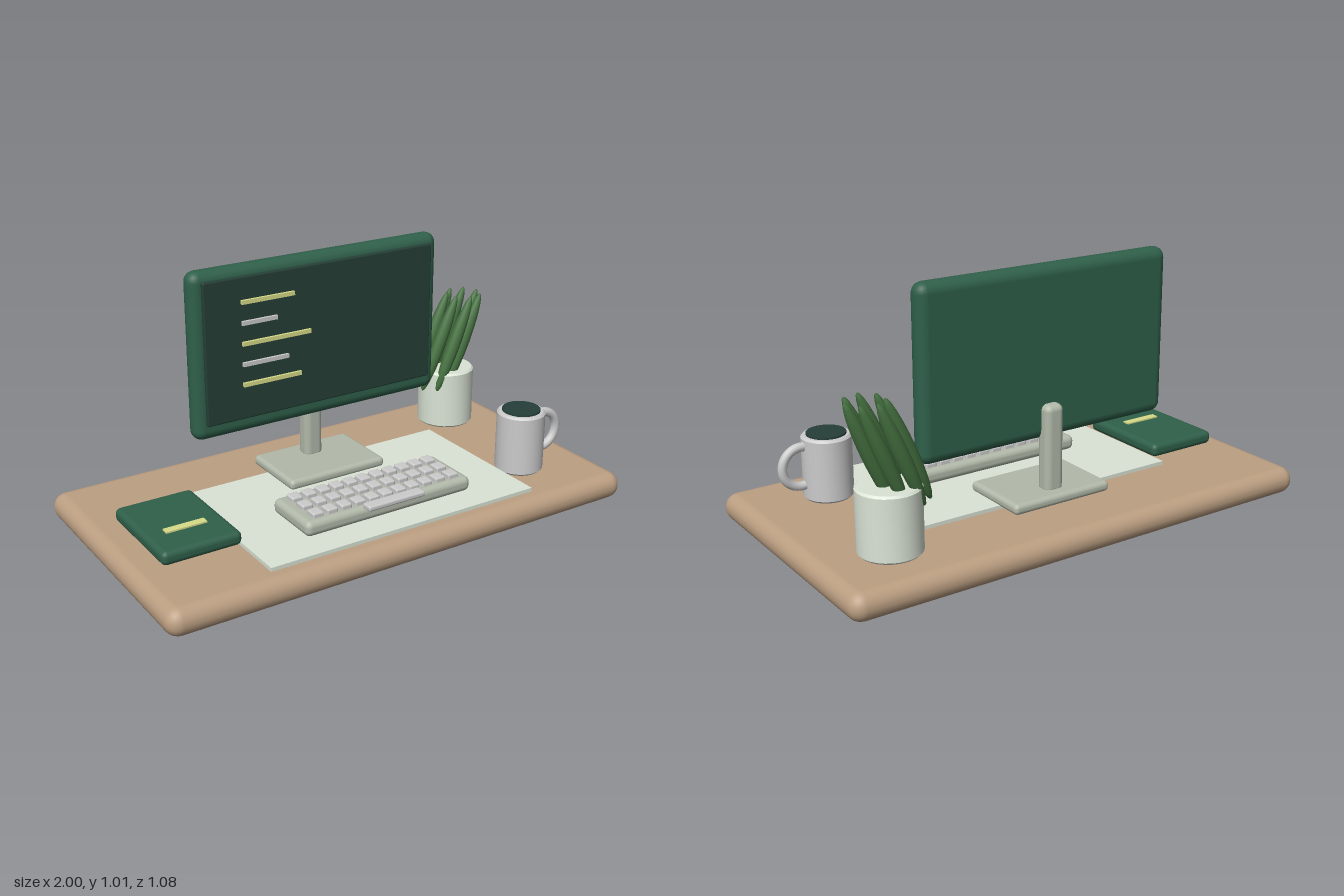
import * as THREE from 'three';
import { RoundedBoxGeometry } from 'three/addons/geometries/RoundedBoxGeometry.js';
import { toCreasedNormals } from 'three/addons/utils/BufferGeometryUtils.js';

const mat = (color) => new THREE.MeshStandardMaterial({ color });
const MAT = {
  grey: mat(0xcccccc),
  wood: mat(0xbc9f82),
  sage: mat(0xdbe4d6),
  stone: mat(0xb2baaa),
  green: mat(0x2f604a),
  dark: mat(0x253f37),
  yellow: mat(0xd8dc88),
  leaf: mat(0x44703f),
};

export function createModel() {
  const model = new THREE.Group();
  model.name = 'deskSetup';

  const add = (parent, name, geometry, material) => {
    const mesh = new THREE.Mesh(geometry, material);
    mesh.name = name;
    parent.add(mesh);
    return mesh;
  };
  const group = (name) => {
    const g = new THREE.Group();
    g.name = name;
    model.add(g);
    return g;
  };
  // Box given by its extents on each axis; radius 0 keeps the edges sharp
  const block = (parent, name, [x0, x1], [y0, y1], [z0, z1], radius, material, segments = 3) => {
    const size = [x1 - x0, y1 - y0, z1 - z0];
    const geometry = radius
      ? new RoundedBoxGeometry(...size, segments, radius)
      : new THREE.BoxGeometry(...size);
    const mesh = add(parent, name, geometry, material);
    mesh.position.set((x0 + x1) / 2, (y0 + y1) / 2, (z0 + z1) / 2);
    return mesh;
  };
  // Upright vessel with slightly bevelled rims
  const vessel = (parent, name, r, h, material) => {
    const b = 0.008;
    const profile = [[0, 0], [r - b, 0], [r, b], [r, h - b], [r - b, h], [0, h]]
      .map(([x, y]) => new THREE.Vector2(x, y));
    return add(parent, name, toCreasedNormals(new THREE.LatheGeometry(profile, 28), 0.6), material);
  };

  // Desk top and mat
  block(model, 'deskTop', [-1, 1], [0, 0.11], [-0.54, 0.54], 0.054, MAT.wood);
  block(model, 'deskMat', [-0.58, 0.58], [0.108, 0.125], [-0.207, 0.465], 0, MAT.sage);

  // Monitor with screen and lines of text-like bars
  const monitor = group('monitor');
  block(monitor, 'monitorCase', [-0.55, 0.55], [0.35, 1.01], [-0.225, -0.141], 0.041, MAT.green);
  block(monitor, 'screen', [-0.507, 0.507], [0.415, 0.975], [-0.145, -0.126], 0.006, MAT.dark, 2);
  [-0.13, -0.205, -0.06, -0.16, -0.105].forEach((end, i) => {
    const y = 0.88 - i * 0.081;
    block(monitor, 'screenLine', [-0.355, end], [y - 0.008, y + 0.008], [-0.127, -0.115], 0,
      i % 2 ? MAT.grey : MAT.yellow);
  });
  block(monitor, 'standPole', [-0.04, 0.04], [0.14, 0.49], [-0.265, -0.195], 0.025, MAT.stone);
  block(monitor, 'standBase', [-0.217, 0.217], [0.118, 0.16], [-0.317, -0.014], 0.018, MAT.stone);

  // Keyboard with three rows of keys and a space bar
  const keyboard = group('keyboard');
  block(keyboard, 'keyboardBody', [-0.37, 0.365], [0.125, 0.185], [0.105, 0.358], 0.024, MAT.stone);
  for (let row = 0; row < 3; row++) {
    for (let col = 0; col < 11; col++) {
      const x = -0.305 + col * 0.0605, z = 0.158 + row * 0.074;
      block(keyboard, 'key', [x - 0.023, x + 0.023], [0.178, 0.203], [z - 0.025, z + 0.025],
        0.007, MAT.grey, 2);
    }
  }
  block(keyboard, 'spaceBar', [-0.127, 0.123], [0.18, 0.202], [0.345, 0.392], 0.008, MAT.grey, 2);

  // Notebook with a label strip
  const notebook = group('notebook');
  block(notebook, 'cover', [-0.89, -0.577], [0.12, 0.175], [-0.157, 0.262], 0.022, MAT.green);
  block(notebook, 'label', [-0.815, -0.653], [0.17, 0.181], [0.102, 0.134], 0, MAT.yellow);

  // Mug with drink and handle
  const mug = group('mug');
  mug.position.set(0.675, 0.115, 0.27);
  vessel(mug, 'mugBody', 0.096, 0.248, MAT.grey);
  add(mug, 'drink', new THREE.CylinderGeometry(0.076, 0.076, 0.012, 28), MAT.dark).position.y = 0.249;
  const handle = add(mug, 'mugHandle', new THREE.TorusGeometry(0.077, 0.018, 10, 24, Math.PI + 0.3), MAT.grey);
  handle.position.set(0.107, 0.138, 0);
  handle.rotation.z = -Math.PI / 2 - 0.15;

  // Potted plant: a ring of slender leaves leaning to one side
  const plant = group('plant');
  plant.position.set(0.728, 0.115, -0.298);
  vessel(plant, 'pot', 0.118, 0.247, MAT.sage);
  const leafGeometry = new THREE.SphereGeometry(1, 12, 12).scale(0.028, 0.215, 0.028);
  for (let i = 0; i < 7; i++) {
    const a = (i / 7) * Math.PI * 2;
    const leaf = add(plant, 'leaf', leafGeometry, MAT.leaf);
    leaf.position.set(Math.cos(a) * 0.07, 0.367, Math.sin(a) * 0.073);
    leaf.rotation.z = -0.4;
  }

  return model;
}
